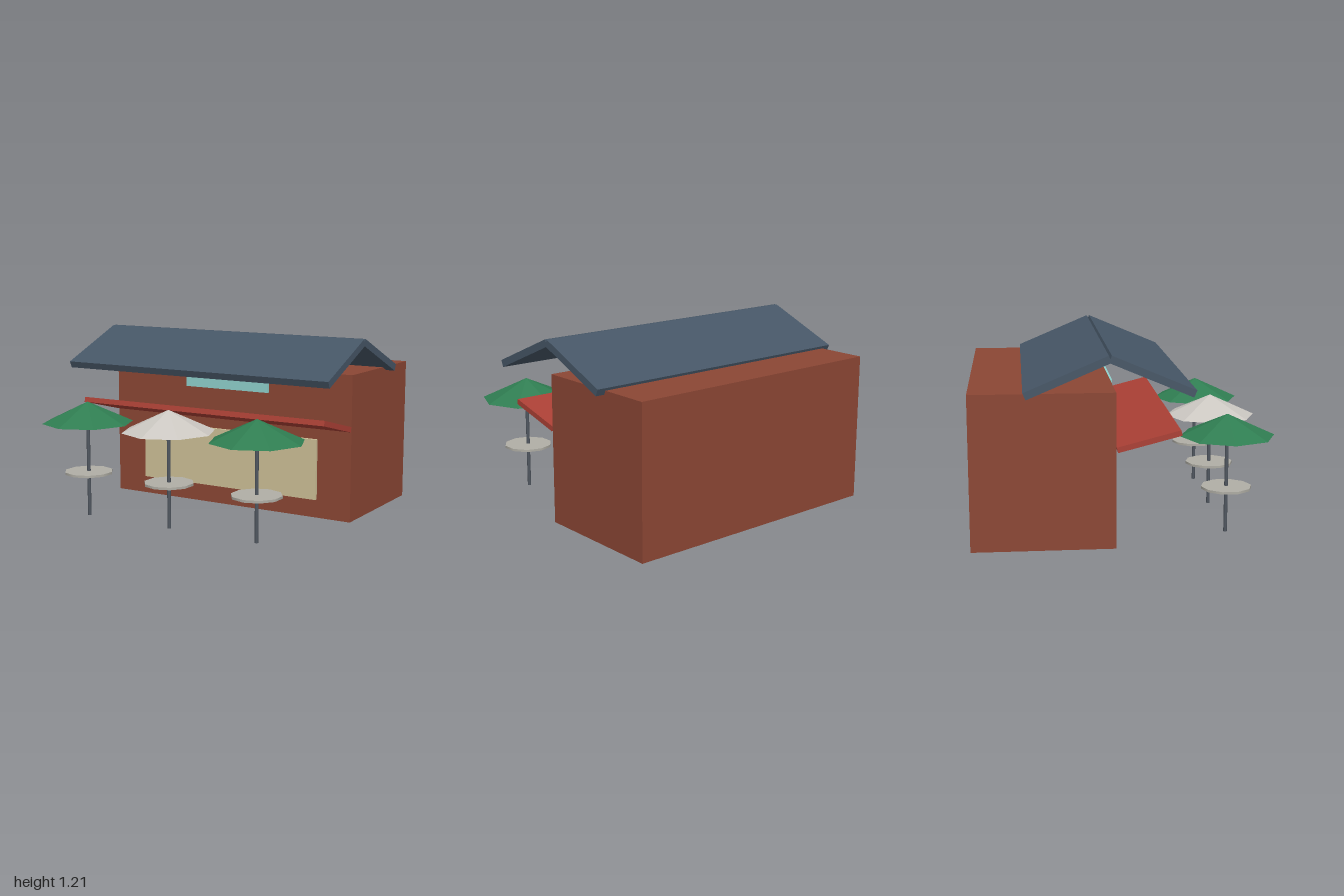
import * as THREE from 'three';

const mat = (name, color, flatShading = false) => {
  const m = new THREE.MeshStandardMaterial({ color, flatShading });
  m.name = name;
  return m;
};

export function createModel() {
  const brick = mat('brick', 0x8b4634);
  const slate = mat('slate', 0x465666);
  const red = mat('awning red', 0xab4035);
  const glass = mat('pale teal', 0x8fd0cb);
  const cream = mat('cream', 0xcdbf96);
  const green = mat('green canvas', 0x2f7d51, true);
  const white = mat('off-white canvas', 0xcbc7c1, true);
  const stone = mat('table grey', 0xb0aea5);
  const steel = mat('pole grey', 0x505760);

  const root = new THREE.Group();
  root.name = 'cafe';

  const add = (parent, name, geometry, material, x, y, z, tilt = 0) => {
    const mesh = new THREE.Mesh(geometry, material);
    mesh.name = name;
    mesh.position.set(x, y, z);
    mesh.rotation.x = tilt;
    parent.add(mesh);
    return mesh;
  };
  const box = (w, h, d) => new THREE.BoxGeometry(w, h, d);

  // Main block
  add(root, 'building', box(1.876, 0.98, 0.894), brick, 0, 0.49, -0.519);

  // Two tilted roof slabs meeting at the ridge
  for (const side of [1, -1]) {
    add(root, side > 0 ? 'frontRoof' : 'backRoof', box(2, 0.047, 0.556), slate,
      0, 1.084, -0.113 + side * 0.256, side * 0.4);
  }

  // Awning rising outward, sign panel and serving window
  add(root, 'awning', box(1.876, 0.035, 0.406), red, 0, 0.674, 0.132, -0.25);
  add(root, 'signPanel', box(0.65, 0.13, 0.022), glass, 0, 0.885, -0.055);
  add(root, 'frontWindow', box(1.386, 0.41, 0.022), cream, 0, 0.33, -0.063);

  // Three parasol tables
  const canopy = new THREE.ConeGeometry(0.304, 0.14, 8);
  const tableTop = new THREE.CylinderGeometry(0.163, 0.163, 0.016, 10);
  const pole = new THREE.CylinderGeometry(0.012, 0.012, 0.65, 8);
  [-0.65, 0, 0.65].forEach((x, i) => {
    const set = new THREE.Group();
    set.name = 'parasolTable' + (i + 1);
    set.position.set(x, 0, 0.662);
    add(set, 'canopy', canopy, i === 1 ? white : green, 0, 0.707, 0);
    add(set, 'pole', pole, steel, 0, 0.325, 0);
    add(set, 'tableTop', tableTop, stone, 0, 0.298, 0);
    root.add(set);
  });

  return root;
}
